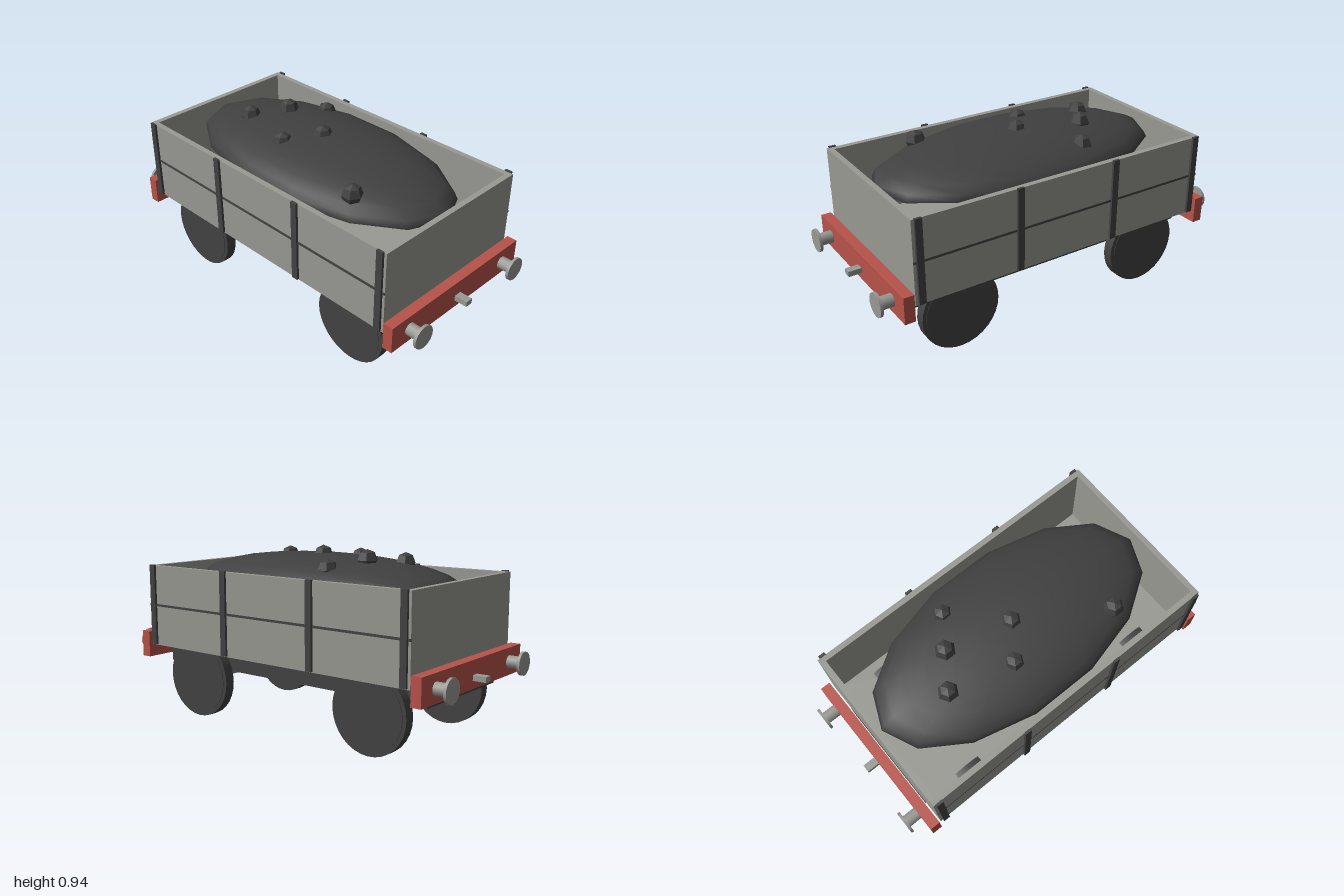
import * as THREE from 'three';

const mat = (name, color, extra = {}) => {
  const m = new THREE.MeshStandardMaterial({ color, ...extra });
  m.name = name;
  return m;
};

export function createModel() {
  const wagon = new THREE.Group();
  wagon.name = 'openWagon';
  const grey = mat('greyPaint', 0x9a9a94);
  const red = mat('redBeam', 0xb8534a);
  const steel = mat('bareSteel', 0x999a95);
  const iron = mat('darkIron', 0x434344);
  const coal = mat('coal', 0x404040);
  const lumpCoal = mat('coalLump', 0x404041, { flatShading: true });

  const add = (name, geometry, material, x = 0, y = 0, z = 0) => {
    const mesh = new THREE.Mesh(geometry, material);
    mesh.name = name;
    mesh.position.set(x, y, z);
    wagon.add(mesh);
    return mesh;
  };
  const box = (name, material, w, h, d, x, y, z) =>
    add(name, new THREE.BoxGeometry(w, h, d), material, x, y, z);
  const rodX = (r, len, sides) => new THREE.CylinderGeometry(r, r, len, sides).rotateZ(Math.PI / 2);
  const rodZ = (r, len, sides) => new THREE.CylinderGeometry(r, r, len, sides).rotateX(Math.PI / 2);

  // Underframe and open-topped body
  box('underframe', iron, 0.64, 0.115, 1.7, 0, 0.3225, 0);
  box('floor', grey, 0.93, 0.03, 1.7, 0, 0.395, 0);
  for (const s of [1, -1]) {
    box('sideWall', grey, 0.03, 0.41, 1.7, s * 0.45, 0.615, 0);
    box('endWall', grey, 0.87, 0.41, 0.03, 0, 0.615, s * 0.835);

    // Iron strapping and plank seam on each side
    box('plankSeam', iron, 0.006, 0.012, 1.7, s * 0.466, 0.603, 0);
    for (const z of [-0.818, -0.283, 0.283, 0.818])
      box('strap', iron, 0.014, 0.44, 0.036, s * 0.471, 0.605, z);
  }

  // Beam, buffers and coupling at each end
  for (const e of [1, -1]) {
    box('bufferBeam', red, 0.956, 0.142, 0.055, 0, 0.379, e * 0.8875);
    box('coupling', steel, 0.042, 0.028, 0.08, 0, 0.363, e * 0.945);
    for (const s of [1, -1]) {
      add('bufferShank', rodZ(0.033, 0.08, 12), steel, s * 0.355, 0.378, e * 0.95);
      add('bufferHead', rodZ(0.062, 0.015, 14), steel, s * 0.355, 0.378, e * 0.9925);
    }
  }

  // Wheels with thin outer discs, joined by axles
  for (const z of [0.57, -0.57]) {
    add('axle', rodX(0.027, 0.66, 8), steel, 0, 0.212, z);
    for (const s of [1, -1]) {
      add('wheel', rodX(0.212, 0.056, 32), iron, s * 0.356, 0.212, z);
      add('wheelFace', rodX(0.194, 0.003, 32), iron, s * 0.3895, 0.212, z);
    }
  }

  // Domed coal load
  const heap = new THREE.SphereGeometry(1, 14, 7, 0, Math.PI * 2, 0, Math.PI / 2);
  heap.rotateY(Math.PI / 2).scale(0.425, 0.155, 0.815);
  add('coalHeap', heap, coal, 0, 0.75, 0);

  // Loose lumps: x, top height, z
  const lumpGeometry = new THREE.SphereGeometry(0.055, 6, 4).rotateY(Math.PI / 6);
  for (const [x, top, z] of [
    [0, 0.945, 0], [0.085, 0.945, -0.345], [-0.085, 0.925, -0.46],
    [-0.17, 0.925, -0.12], [0.257, 0.903, -0.23], [-0.256, 0.903, 0.45],
  ]) add('coalLump', lumpGeometry, lumpCoal, x, top - 0.055, z);

  return wagon;
}
